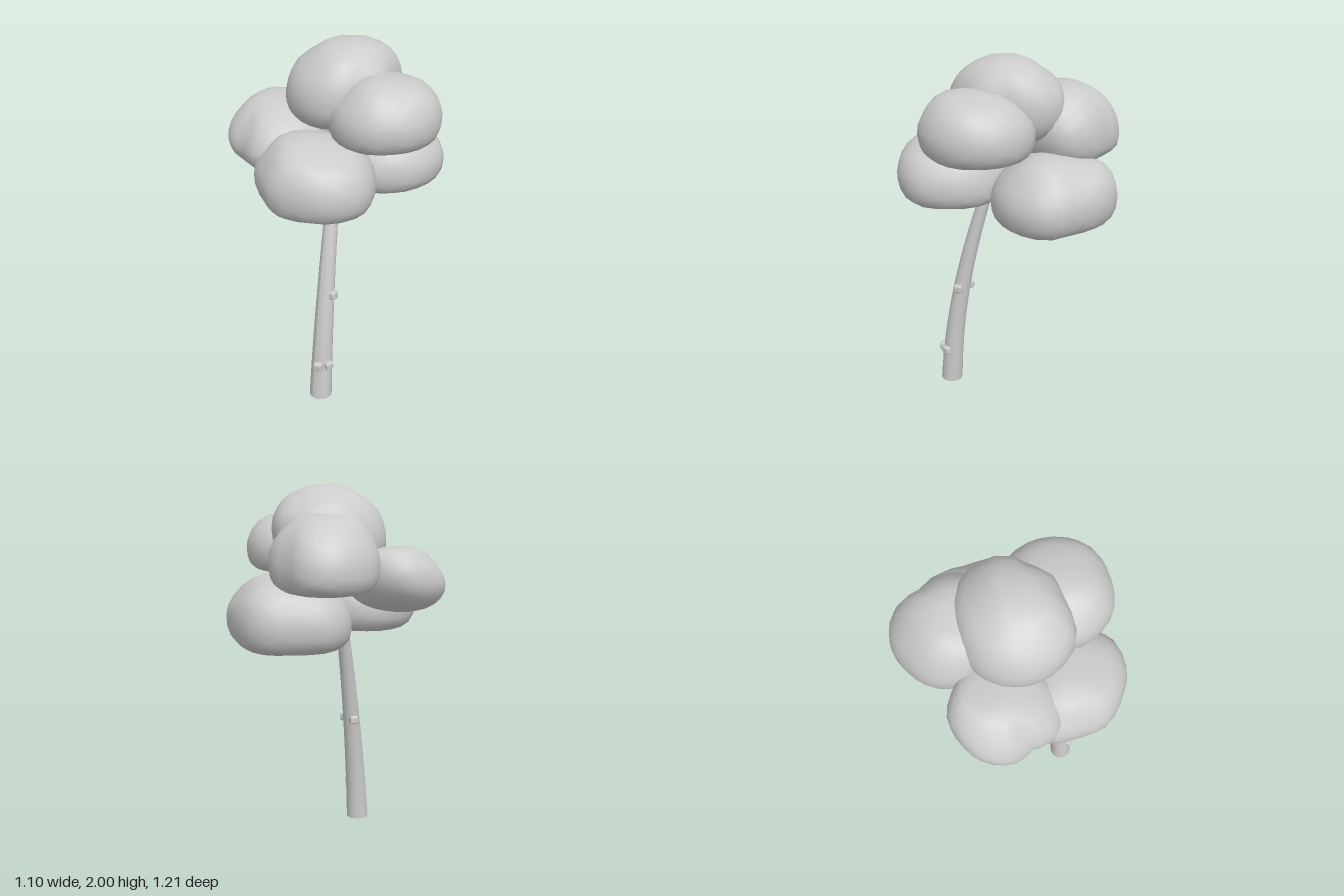
import * as THREE from 'three';
import { mergeVertices } from 'three/addons/utils/BufferGeometryUtils.js';
import { RoundedBoxGeometry } from 'three/addons/geometries/RoundedBoxGeometry.js';

const material = new THREE.MeshStandardMaterial({ color: 0xcccccc });

// Each clump: centre [x, z], [bottom, top], plan radii every 30 degrees from +x towards +z,
// lean = sideways shift [x, z] from bottom to top, tilt = slope of its height along x,
// round = 0 for a flat underside, 1 for a rounded one, power = below 1 for fuller shoulders
const clumps = [
  { name: 'topClump', at: [-0.02, 0], y: [1.55, 2.0], lean: [0.05, -0.03], round: 0.6, power: 0.75,
    plan: [0.29, 0.27, 0.32, 0.31, 0.3, 0.29, 0.28, 0.27, 0.3, 0.33, 0.32, 0.26] },
  { name: 'leftClump', at: [0.26, 0], y: [1.515, 1.87], lean: [0.02, 0],
    plan: [0.295, 0.29, 0.3, 0.29, 0.28, 0.27, 0.28, 0.28, 0.3, 0.3, 0.3, 0.295] },
  { name: 'frontClump', at: [0.08, 0.3], y: [1.19, 1.58], lean: [0, 0.03],
    plan: [0.335, 0.32, 0.295, 0.305, 0.29, 0.33, 0.355, 0.34, 0.32, 0.31, 0.31, 0.31] },
  { name: 'frontRightClump', at: [-0.3, 0.23], y: [1.32, 1.68], lean: [0, -0.12], tilt: -0.1, round: 0.9,
    plan: [0.29, 0.31, 0.3, 0.23, 0.26, 0.26, 0.25, 0.25, 0.23, 0.23, 0.27, 0.29] },
  { name: 'backRightClump', at: [-0.24, -0.21], y: [1.445, 1.85], lean: [0.05, 0.03],
    plan: [0.28, 0.28, 0.27, 0.26, 0.27, 0.27, 0.27, 0.29, 0.3, 0.26, 0.29, 0.31] },
  { name: 'backClump', at: [0, -0.29], y: [1.135, 1.54], lean: [0, -0.03],
    plan: [0.335, 0.32, 0.32, 0.32, 0.33, 0.36, 0.38, 0.325, 0.35, 0.31, 0.29, 0.35] },
];

// Lumpy, faceted dome following its plan outline
function clumpGeometry({ at, y: [bottom, top], plan, lean, tilt = 0, round = 0, power = 0.9 }, seed) {
  let g = new THREE.IcosahedronGeometry(1, 4);
  g.deleteAttribute('normal');
  g.deleteAttribute('uv');
  g = mergeVertices(g, 1e-4);
  const p = g.attributes.position;
  const v = new THREE.Vector3();
  for (let i = 0; i < p.count; i++) {
    v.fromBufferAttribute(p, i);
    const a = ((Math.atan2(v.z, v.x) / (Math.PI * 2) + 1) % 1) * 12;
    const k = Math.floor(a) % 12;
    const outline = THREE.MathUtils.lerp(plan[k], plan[(k + 1) % 12], a - Math.floor(a));
    const ring = Math.hypot(v.x, v.z);
    const spread = ring > 0 ? Math.pow(ring, power) / ring : 0;
    const lump = 0.07 * Math.sin(4 * v.x + seed * 2.1) * Math.sin(4 * v.z + seed * 1.3)
      + 0.04 * Math.sin(6 * v.y + 3 * v.x + seed);
    const side = spread * outline * (1 + lump * (1 - ring));
    const flat = 0.78 * Math.tanh(v.y * 1.75);
    const h = v.y > 0 ? v.y * (1.2 + lump) : THREE.MathUtils.lerp(flat, v.y, round);
    p.setXYZ(i, v.x * side, h + tilt * v.x, v.z * side);
  }
  // Fit the height range and lean the dome
  g.computeBoundingBox();
  const { min, max } = g.boundingBox;
  for (let i = 0; i < p.count; i++) {
    const t = (p.getY(i) - min.y) / (max.y - min.y);
    p.setXYZ(i,
      p.getX(i) + at[0] + lean[0] * (t - 0.4),
      THREE.MathUtils.lerp(bottom, top, t),
      p.getZ(i) + at[1] + lean[1] * (t - 0.4));
  }
  g.computeVertexNormals();
  return g;
}

// Centre line of the leaning trunk
const trunkX = (y) => 0.116 - 0.0625 * y * y;
const trunkZ = (y) => 0.325 - 0.06 * y - 0.09 * y * y;
const trunkRadius = (y) => 0.064 - 0.024 * y;

function addMesh(group, name, geometry) {
  const mesh = new THREE.Mesh(geometry, material);
  mesh.name = name;
  group.add(mesh);
  return mesh;
}

export function createModel() {
  const tree = new THREE.Group();
  tree.name = 'tree';

  // Curved, tapering trunk reaching into the foliage
  const height = 1.4;
  const trunk = new THREE.CylinderGeometry(trunkRadius(height), trunkRadius(0), height, 16, 14);
  trunk.translate(0, height / 2, 0);
  const p = trunk.attributes.position;
  for (let i = 0; i < p.count; i++) {
    const y = p.getY(i);
    p.setXYZ(i, p.getX(i) + trunkX(y), y, p.getZ(i) + trunkZ(y));
  }
  trunk.computeVertexNormals();
  addMesh(tree, 'trunk', trunk);

  // Stubby knots: [height, direction around the trunk in degrees from +x towards +z]
  for (const [y, degrees] of [[0.22, 5], [0.22, 65], [0.645, -10], [0.645, 205]]) {
    const a = THREE.MathUtils.degToRad(degrees);
    const r = trunkRadius(y) - 0.003;
    const knot = addMesh(tree, 'knot', new RoundedBoxGeometry(0.05, 0.048, 0.05, 2, 0.012));
    knot.position.set(trunkX(y) + Math.cos(a) * r, y, trunkZ(y) + Math.sin(a) * r);
    knot.rotation.y = -a;
  }

  // Foliage
  const foliage = new THREE.Group();
  foliage.name = 'foliage';
  clumps.forEach((c, i) => addMesh(foliage, c.name, clumpGeometry(c, i + 1)));
  tree.add(foliage);
  return tree;
}
